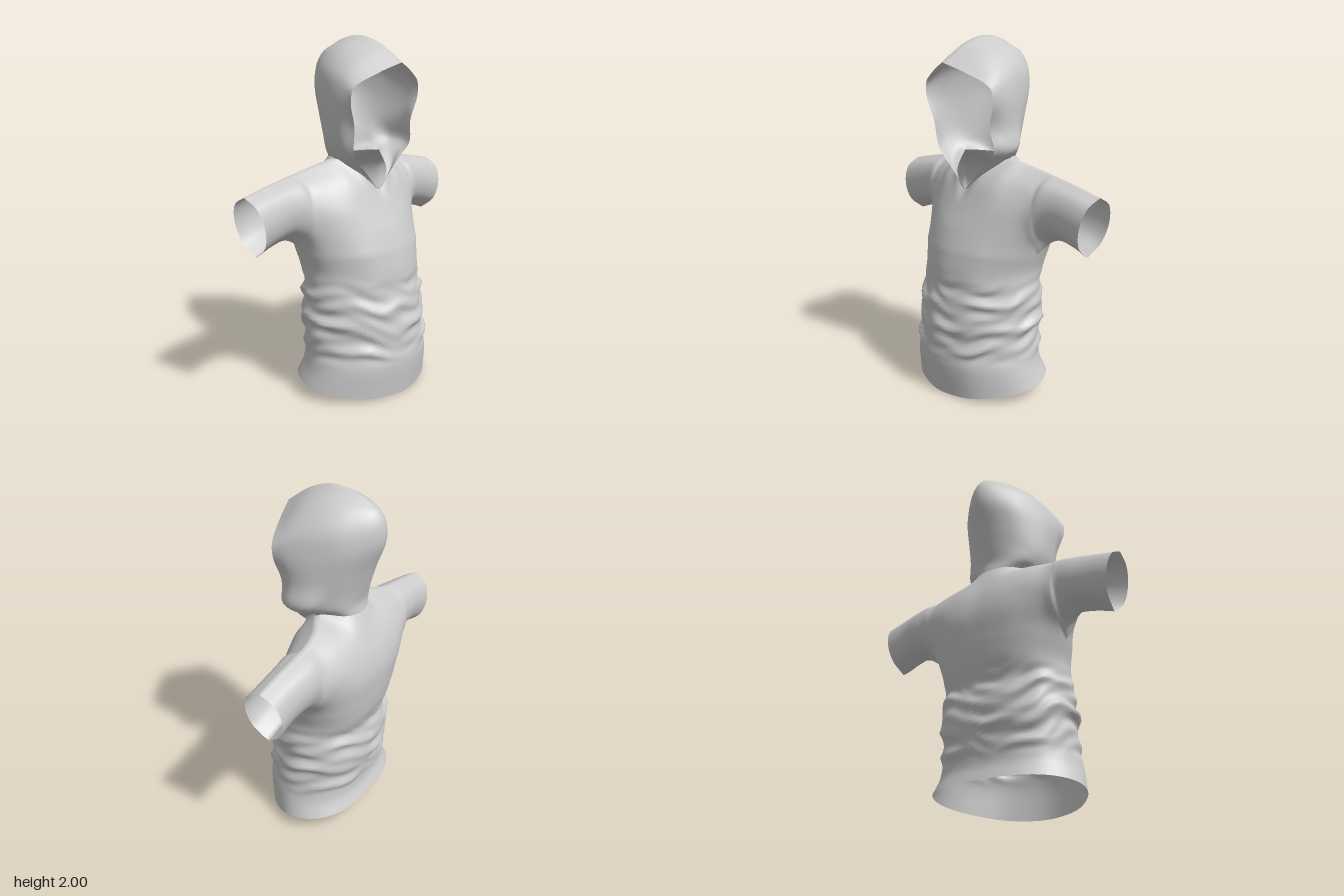
import * as THREE from 'three';
import { mergeGeometries, mergeVertices } from 'three/addons/utils/BufferGeometryUtils.js';

const S = 6; // samples between neighbouring key points
const V = (p) => new THREE.Vector3(...p);
const mirror = (p) => new THREE.Vector3(-p.x, p.y, p.z);
const smooth = THREE.MathUtils.smoothstep;

// Smooth line through key points, S steps per span
const refine = (pts) => new THREE.CatmullRomCurve3(pts).getPoints((pts.length - 1) * S);
const transpose = (g) => g[0].map((_, j) => g.map((r) => r[j]));
const refineColumns = (rows) => transpose(transpose(rows).map(refine));

// Indexed sheet from a grid of points
function sheet(rows, closed = false) {
  const n = rows[0].length, pos = [], index = [];
  rows.forEach((r) => r.forEach((p) => pos.push(p.x, p.y, p.z)));
  for (let i = 0; i < rows.length - 1; i++) {
    for (let j = 0; j < (closed ? n : n - 1); j++) {
      const a = i * n + j, b = i * n + (j + 1) % n, c = b + n, d = a + n;
      index.push(a, b, c, a, c, d);
    }
  }
  const g = new THREE.BufferGeometry();
  g.setAttribute('position', new THREE.Float32BufferAttribute(pos, 3));
  g.setIndex(index);
  return g;
}

function cloth(name, sheets) {
  const g = mergeVertices(mergeGeometries(sheets), 1e-4);
  g.computeVertexNormals();
  const mesh = new THREE.Mesh(g, new THREE.MeshStandardMaterial({ color: 0xcccccc, side: THREE.DoubleSide }));
  mesh.name = name;
  return mesh;
}

// Chest and back columns from centre to armpit, each from waist side up to neck or shoulder
const chest = [
  [[0, .84, .265], [0, .95, .225], [0, 1.03, .185], [0, 1.1, .15], [0, 1.16, .11]],
  [[.11, .84, .25], [.105, .97, .205], [.1, 1.07, .16], [.1, 1.16, .12], [.1, 1.25, .085]],
  [[.23, .84, .205], [.22, .98, .165], [.215, 1.1, .125], [.21, 1.22, .07], [.2, 1.345, -.05]],
  [[.33, .84, .12], [.32, .98, .11], [.31, 1.1, .085], [.3, 1.22, .02], [.3, 1.315, -.1]],
  [[.39, .84, .03], [.4, .98, .045], [.4, 1.1, .04], [.39, 1.21, -.01], [.39, 1.292, -.12]],
  [[.41, .84, -.06], [.435, .97, .015], [.44, 1.1, .025], [.43, 1.205, -.02], [.425, 1.285, -.123]],
];
const back = [
  [[0, .84, -.325], [0, 1, -.335], [0, 1.12, -.31], [0, 1.22, -.265], [0, 1.33, -.21]],
  [[.11, .84, -.32], [.11, 1, -.335], [.11, 1.13, -.31], [.105, 1.24, -.255], [.1, 1.335, -.18]],
  [[.23, .84, -.295], [.225, 1, -.32], [.22, 1.13, -.3], [.21, 1.25, -.23], [.2, 1.345, -.05]],
  [[.33, .84, -.235], [.325, .99, -.285], [.32, 1.12, -.285], [.31, 1.24, -.22], [.3, 1.315, -.1]],
  [[.39, .84, -.15], [.4, .98, -.245], [.4, 1.1, -.265], [.395, 1.22, -.215], [.39, 1.292, -.12]],
  [[.41, .84, -.06], [.435, .97, -.225], [.44, 1.1, -.255], [.43, 1.22, -.215], [.425, 1.285, -.123]],
];
// Sleeve sections: underside point, top point, half depth
const sleeve = [
  [[.455, .9, -.1], [.465, 1.278, -.125], .133],
  [[.52, .935, -.115], [.54, 1.265, -.125], .123],
  [[.62, .925, -.112], [.66, 1.243, -.122], .114],
  [[.73, .89, -.11], [.79, 1.215, -.12], .114],
];
const sleeveT = [0, .22, .55, .85, 1], sleeveBulge = [0, .76, 1, .72, 0];

// One half shell (front or back) running from cuff to cuff, as key rows refined along x
function panel(body, sign) {
  const cols = body.map((c) => c.map(V));
  for (const [lo, hi, depth] of sleeve) {
    cols.push(sleeveT.map((t, i) => {
      const p = V(lo).lerp(V(hi), t);
      p.z += sign * depth * sleeveBulge[i];
      return p;
    }));
  }
  const full = [...cols.slice(1).reverse().map((c) => c.map(mirror)), ...cols];
  return transpose(full).map(refine);
}

// Torso rings below the chest: height, half width, front z, back z
const rings = [
  [0, .445, .32, -.3], [.18, .415, .34, -.27], [.26, .4, .335, -.27], [.36, .395, .33, -.285],
  [.46, .4, .325, -.295], [.56, .395, .305, -.285], [.64, .385, .29, -.275], [.73, .38, .285, -.305],
];

// Gathered folds around the waist, uneven in spacing and strongest at the flanks
function addFolds(p) {
  const env = smooth(p.y, .2, .3) * (1 - smooth(p.y, .6, .72));
  const a = Math.atan2(p.x, p.z);
  const h = p.y + .03 * Math.cos(2 * a) + .02 * Math.sin(3 * a + 1 + 5 * p.y) + .012 * Math.sin(7 * a + 11 * p.y);
  const ridge = .9 - 1.6 * Math.abs(Math.sin(h * Math.PI / .14));
  const small = Math.sin(h * 70 + 4 * Math.sin(2 * a + .5)) * Math.sin(4 * a + 1);
  const k = env * (.045 * ridge * (.65 + .35 * Math.sin(4 * a + 17 * p.y)) + .02 * small);
  p.x *= 1 + k;
  p.z *= 1 + k;
}

function makeBody() {
  const front = panel(chest, 1), rear = panel(back, -1);
  const n = front[0].length, mid = (n - 1) / 2, a = mid - 5 * S, b = mid + 5 * S;
  // Join front and back along the underarm and shoulder seams
  const join = (row, start) => {
    for (let j = 0; j < n; j++) {
      if (Math.abs(j - mid) < start * S) continue;
      const p = front[row][j].clone().lerp(rear[row][j], .5);
      front[row][j] = p;
      rear[row][j] = p.clone();
    }
  };
  join(0, 5);
  join(4, 2);

  // Round lower loop of the yoke, shared with the torso
  const f = chest.map((c) => V(c[0])), r = back.map((c) => V(c[0]));
  const keys = [...f.slice(1).reverse().map(mirror), ...f, ...r.slice(0, 5).reverse(), ...r.slice(1, 5).map(mirror)];
  const loop = new THREE.CatmullRomCurve3(keys, true).getPoints(20 * S).slice(0, -1);
  for (let k = 0; k <= 10 * S; k++) {
    front[0][a + k] = loop[k];
    rear[0][b - k] = loop[(10 * S + k) % (20 * S)];
  }

  // Torso hangs from that loop down to a slanted hem
  const keyRows = rings.map(([y, w, zf, zb], i) => loop.map((p) => {
    const c = (p.z + .03) / .295;
    const hem = i === 0 ? .07 - .05 * c - .02 * c * c : y;
    return new THREE.Vector3(p.x * w / .41, hem, (zf + zb) / 2 + c * (zf - zb) / 2);
  }));
  const torso = refineColumns([...keyRows, loop]);
  torso.forEach((row) => row.forEach(addFolds));

  const mesh = cloth('torsoAndSleeves', [
    sheet(torso, true),
    sheet(refineColumns(front)),
    sheet(refineColumns(rear.map((row) => [...row].reverse()))),
  ]);
  // Neckline from the throat round the nape and back to the throat
  const neckline = [
    ...front[4].slice(mid, mid + 2 * S),
    ...rear[4].slice(mid - 2 * S, mid + 2 * S + 1).reverse(),
    ...front[4].slice(mid - 2 * S + 1, mid + 1),
  ];
  return { mesh, neckline };
}

// Hood rows above the neckline, each from the opening edge round to the back
const hoodLower = [
  [[.13, 1.28, .115], [.19, 1.31, .06], [.215, 1.37, -.05], [.13, 1.385, -.17], [0, 1.385, -.205]],
  [[.225, 1.37, .12], [.25, 1.4, .05], [.235, 1.43, -.06], [.135, 1.46, -.18], [0, 1.46, -.225]],
  [[.245, 1.53, .14], [.275, 1.54, .06], [.25, 1.56, -.06], [.15, 1.58, -.2], [0, 1.6, -.27]],
];
const hoodUpper = [
  [[.29, 1.66, .155], [.285, 1.68, .06], [.245, 1.7, -.07], [.16, 1.72, -.22], [0, 1.75, -.325]],
  [[.28, 1.735, .165], [.255, 1.79, .065], [.22, 1.82, -.07], [.145, 1.83, -.21], [0, 1.85, -.32]],
  [[.14, 1.81, .215], [.15, 1.89, .08], [.14, 1.92, -.06], [.095, 1.915, -.19], [0, 1.91, -.285]],
  [[0, 1.86, .26], [0, 1.965, .1], [0, 2, -.04], [0, 1.975, -.17], [0, 1.935, -.25]],
];

function makeHood(neckline) {
  const rows = [...hoodLower, ...hoodUpper].map((r) => {
    const half = r.map(V);
    return refine([...half, ...half.slice(0, -1).reverse().map(mirror)]);
  });
  const grid = refineColumns([neckline, ...rows]);
  // Slumped fold low on the left side
  grid.forEach((row) => row.forEach((p) => {
    p.x += .04 * smooth(p.x, .2, .25) * Math.exp(-(((p.y - 1.4) / .08) ** 2));
  }));
  return cloth('hood', [sheet(grid)]);
}

export function createModel() {
  const group = new THREE.Group();
  group.name = 'hoodedShirt';
  const { mesh, neckline } = makeBody();
  group.add(mesh, makeHood(neckline));
  return group;
}
